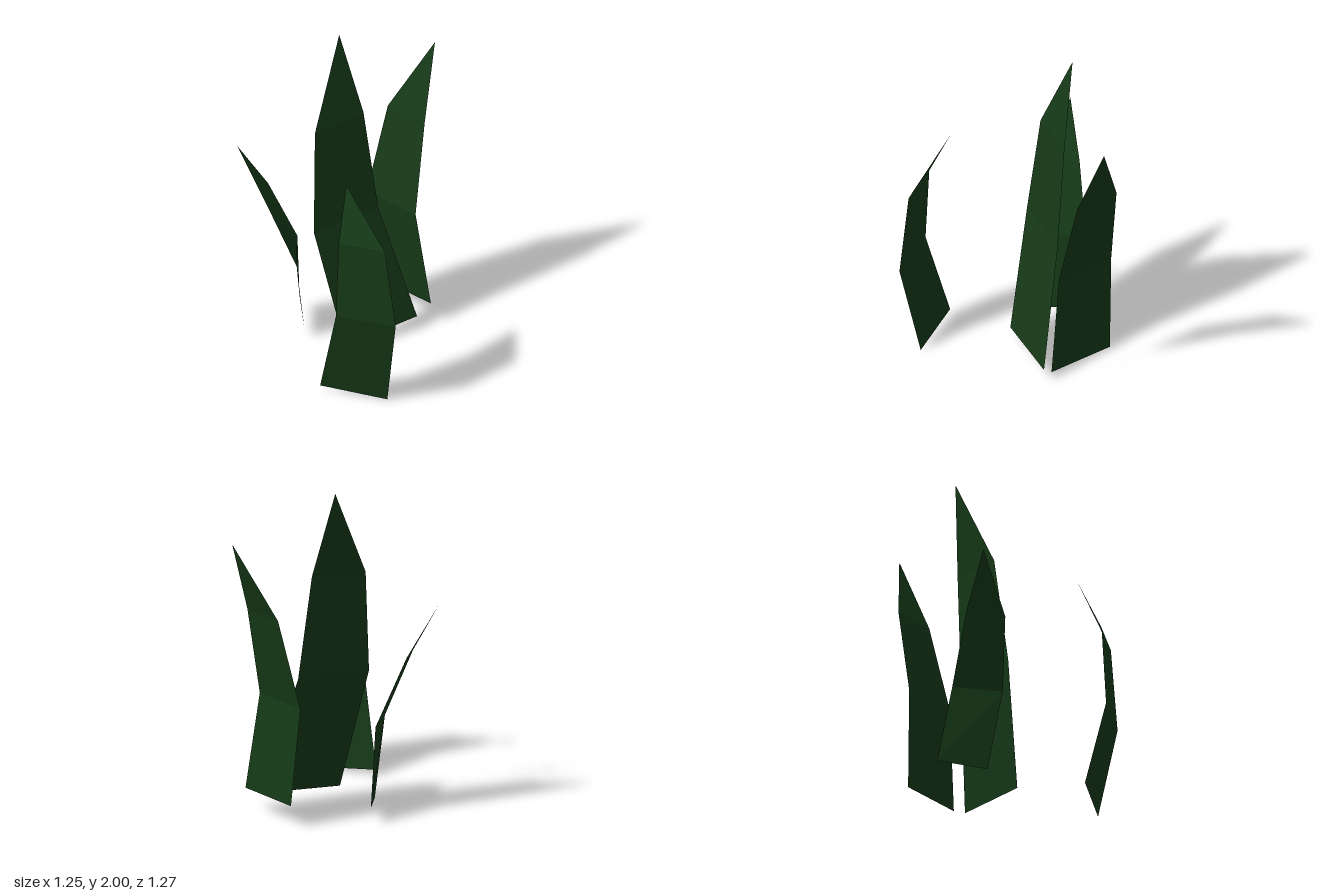
import * as THREE from 'three';

const leafMaterial = new THREE.MeshStandardMaterial({
  color: 0x163a18, flatShading: true, side: THREE.DoubleSide,
});

// A bent leaf blade: pairs of edge points from base upward, closed by a pointed tip
function makeBlade(name, leftEdge, rightEdge, tip) {
  const positions = [];
  leftEdge.forEach((p, i) => positions.push(...p, ...rightEdge[i]));
  positions.push(...tip);

  const index = [];
  const last = leftEdge.length - 1;
  for (let i = 0; i < last; i++) {
    const a = i * 2;
    index.push(a, a + 1, a + 3, a, a + 3, a + 2);
  }
  index.push(last * 2, last * 2 + 1, last * 2 + 2);

  const geometry = new THREE.BufferGeometry();
  geometry.setAttribute('position', new THREE.Float32BufferAttribute(positions, 3));
  geometry.setIndex(index);
  geometry.computeVertexNormals();
  const mesh = new THREE.Mesh(geometry, leafMaterial);
  mesh.name = name;
  return mesh;
}

export function createModel() {
  const group = new THREE.Group();
  group.name = 'grassTuft';

  // Tall blade in the middle, seen edge-on from the front
  group.add(makeBlade('centreBlade',
    [[0, 0.06, 0.21], [-0.18, 0.81, 0.285], [-0.23, 1.45, 0.22]],
    [[0.125, 0.085, -0.285], [-0.07, 0.82, -0.16], [-0.15, 1.47, -0.12]],
    [-0.27, 2.0, -0.04]));

  // Broad blade behind, leaning back
  group.add(makeBlade('backBlade',
    [[-0.285, 0.135, -0.385], [-0.325, 0.74, -0.345], [-0.27, 1.3, -0.47]],
    [[0.145, 0.135, -0.385], [0.06, 0.74, -0.345], [0.02, 1.3, -0.47]],
    [-0.05, 1.755, -0.64]));

  // Short blade on the -x side, curling outward
  group.add(makeBlade('rightBlade',
    [[-0.525, 0.1, 0.025], [-0.475, 0.575, 0.1], [-0.555, 0.99, 0.27]],
    [[-0.305, 0.065, 0.23], [-0.28, 0.55, 0.325], [-0.4, 0.96, 0.44]],
    [-0.63, 1.31, 0.46]));

  // Short blade on the +x side, curling inward
  group.add(makeBlade('leftBlade',
    [[0.15, 0.035, 0.6], [0.305, 0.6, 0.635], [0.3, 1.095, 0.605]],
    [[0.51, 0, 0.41], [0.625, 0.585, 0.465], [0.55, 1.075, 0.475]],
    [0.24, 1.41, 0.47]));

  return group;
}
